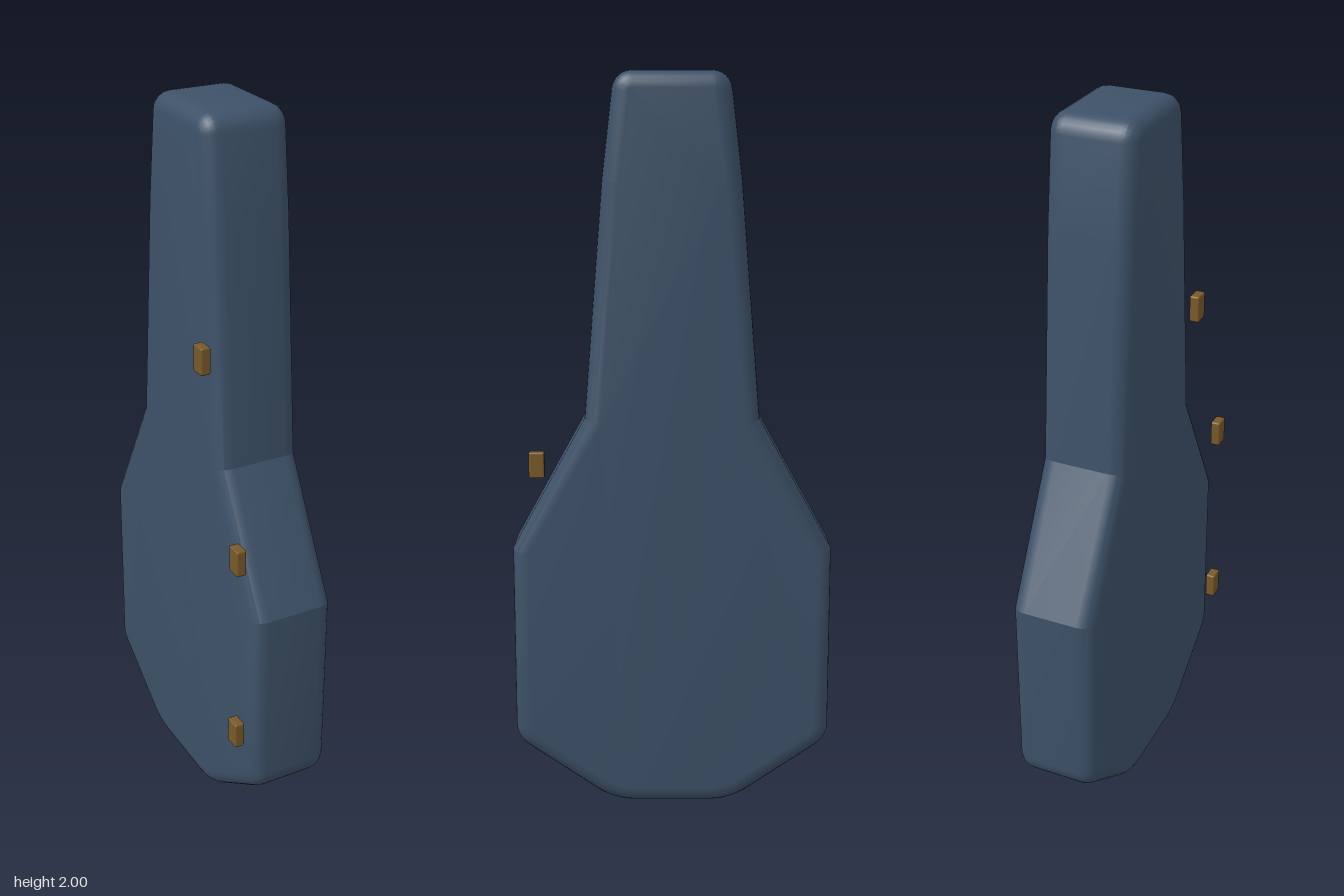
import * as THREE from 'three';
import { toCreasedNormals } from 'three/addons/utils/BufferGeometryUtils.js';
import { RoundedBoxGeometry } from 'three/addons/geometries/RoundedBoxGeometry.js';

const THICKNESS = 0.241;
const BEVEL = 0.045;

// Points of a corner rounded by a circular arc that starts t before the corner.
function roundCorner(prev, p, next, t) {
  if (t === 0) return [p];
  const a = prev.clone().sub(p).normalize();
  const b = next.clone().sub(p).normalize();
  const half = Math.acos(a.dot(b)) / 2;
  const r = t * Math.tan(half);
  const centre = a.clone().add(b).normalize().multiplyScalar(t / Math.cos(half)).add(p);
  const start = p.clone().addScaledVector(a, t).sub(centre);
  const turn = Math.PI - 2 * half;
  const origin = new THREE.Vector2();
  const points = [];
  for (let i = 0; i <= 6; i++) {
    points.push(start.clone().setLength(r).rotateAround(origin, (turn * i) / 6).add(centre));
  }
  return points;
}

function caseShape() {
  // Right half of the outline from the bottom up: x, y, corner rounding
  const half = [
    [0.162, 0, 0.06],
    [0.434, 0.187, 0.04],
    [0.434, 0.73, 0],
    [0.235, 1.09, 0],
    [0.184, 1.72, 0],
    [0.151, 2, 0.048],
  ];
  const outline = [...half, ...half.map(([x, y, t]) => [-x, y, t]).reverse()];
  const corners = outline.map(([x, y]) => new THREE.Vector2(x, y));
  const n = corners.length;
  return new THREE.Shape(corners.flatMap((p, i) =>
    roundCorner(corners[(i + n - 1) % n], p, corners[(i + 1) % n], outline[i][2])));
}

export function createModel() {
  const shellBlue = new THREE.MeshStandardMaterial({ color: 0x3d5168 });
  shellBlue.name = 'shellBlue';
  const latchBrass = new THREE.MeshStandardMaterial({ color: 0x78592a });
  latchBrass.name = 'latchBrass';

  const model = new THREE.Group();
  model.name = 'instrumentCase';

  // Case shell with softened edges
  const geometry = new THREE.ExtrudeGeometry(caseShape(), {
    depth: THICKNESS - 2 * BEVEL,
    bevelSize: BEVEL,
    bevelThickness: BEVEL,
    bevelOffset: -BEVEL,
    bevelSegments: 5,
  });
  geometry.translate(0, 0, BEVEL - THICKNESS / 2);
  const shell = new THREE.Mesh(toCreasedNormals(geometry, 0.36), shellBlue);
  shell.name = 'caseShell';
  model.add(shell);

  // Latches along the left edge, standing just off the front
  const latchGeometry = new RoundedBoxGeometry(0.045, 0.075, 0.028, 2, 0.005);
  for (const [x, y] of [[0.386, 0.367], [0.386, 0.914], [0.192, 1.4]]) {
    const latch = new THREE.Mesh(latchGeometry, latchBrass);
    latch.name = 'latch';
    latch.position.set(x, y, 0.148);
    model.add(latch);
  }

  // The whole case is turned slightly to one side
  model.rotation.y = -0.197;
  model.position.z = -0.023;
  const root = new THREE.Group();
  root.name = 'caseRoot';
  root.add(model);
  return root;
}
